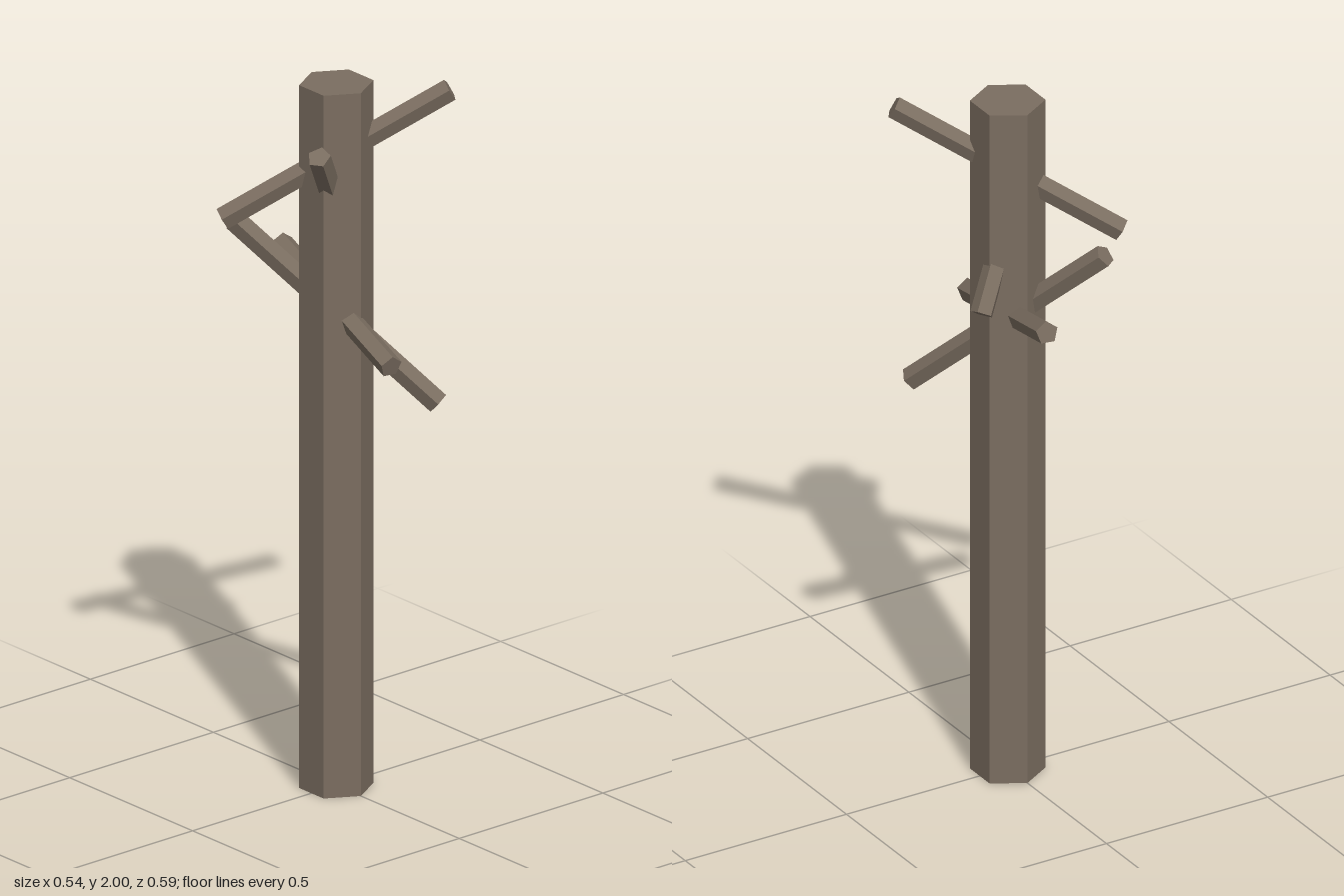
import * as THREE from 'three';

const bark = new THREE.MeshStandardMaterial({ color: 0x7a6d60, flatShading: true });

// Five-sided peg running straight through the trunk axis at height y;
// (dx, dy, dz) points from the trunk axis to the peg's raised end.
function makePeg(y, dx, dy, dz) {
  const flat = Math.hypot(dx, dz);
  const length = 2 * Math.hypot(flat, dy);
  const geometry = new THREE.CylinderGeometry(0.032, 0.032, length, 5);
  geometry.rotateX(-Math.atan2(flat, dy)); // lean, keeping one ridge on top
  geometry.rotateY(Math.atan2(-dx, -dz)); // turn to its heading
  const peg = new THREE.Mesh(geometry, bark);
  peg.position.y = y;
  return peg;
}

export function createModel() {
  const group = new THREE.Group();
  group.name = 'branchedPost';

  // Hexagonal trunk
  const trunk = new THREE.Mesh(new THREE.CylinderGeometry(0.1, 0.1, 2, 6), bark);
  trunk.name = 'trunk';
  trunk.position.y = 1;
  group.add(trunk);

  // Branch pegs, top to bottom: height, then half-vector to the raised end
  const pegs = [
    [1.797, 0.246, 0.173, 0.175],
    [1.637, -0.128, 0.207, 0.079],
    [1.368, 0.052, 0.078, -0.284],
    [1.35, -0.167, 0.238, -0.22],
  ];
  pegs.forEach((p, i) => {
    const peg = makePeg(...p);
    peg.name = `branchPeg${i + 1}`;
    group.add(peg);
  });

  return group;
}
